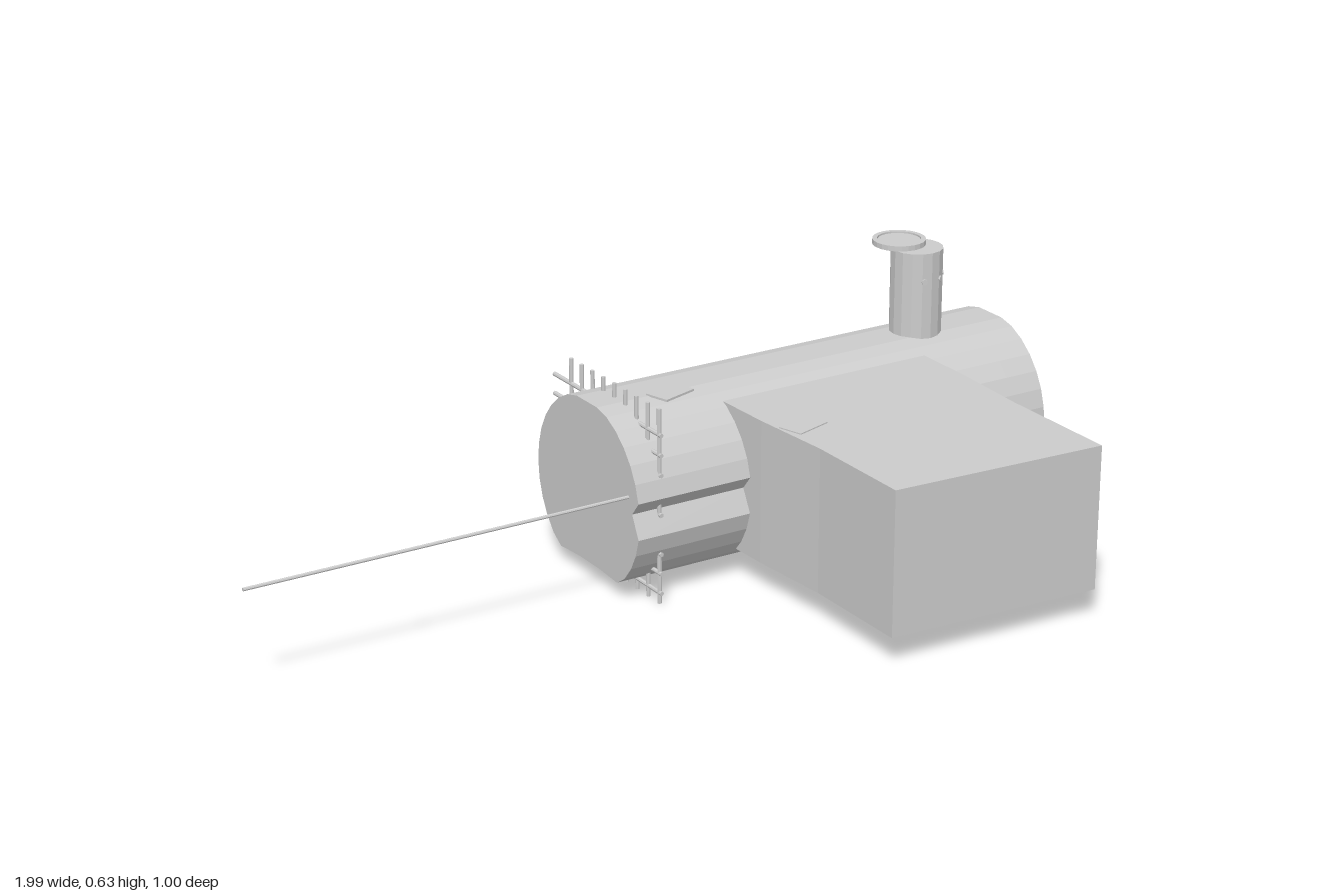
import * as THREE from 'three';

const mat = new THREE.MeshStandardMaterial({ color: 0xcccccc, flatShading: true, side: THREE.DoubleSide });
const CY = 0.21, CZ = -0.25, R = 0.215, SIDES = 32;

function add(parent, name, geometry, x = 0, y = 0, z = 0) {
  const mesh = new THREE.Mesh(geometry, mat);
  mesh.name = name;
  mesh.position.set(x, y, z);
  parent.add(mesh);
  return mesh;
}

// Tank cross-section: circle with a flattened top, worn belly and a dent at the left end
function section(x, floor) {
  const ring = [];
  for (let i = 0; i < SIDES; i++) {
    const a = (i / SIDES) * Math.PI * 2;
    let y = CY + R * Math.sin(a), z = CZ + R * Math.cos(a);
    if (x < 0.19 && i === 0) { z -= 0.03; y += 0.01; }
    const hollow = Math.max(0, 1 - Math.abs(z - CZ) / 0.13);
    y = Math.min(0.418, Math.max(y, 0.036 + floor * Math.min(1, hollow * 1.6)));
    ring.push([x, y, z]);
  }
  return ring;
}

function tankGeometry() {
  const rings = [[-0.1, 0.006], [0.185, 0], [0.2, 0], [0.45, 0.008], [0.7, 0], [0.9, 0.008], [0.985, 0.029]]
    .map(([x, f]) => section(x, f));
  const pos = [];
  for (let r = 0; r < rings.length - 1; r++) {
    for (let i = 0; i < SIDES; i++) {
      const j = (i + 1) % SIDES, A = rings[r], B = rings[r + 1];
      pos.push(...A[i], ...B[j], ...B[i], ...A[i], ...A[j], ...B[j]);
    }
  }
  // End caps as fans
  const first = rings[0], last = rings[rings.length - 1];
  for (let i = 0; i < SIDES; i++) {
    const j = (i + 1) % SIDES;
    pos.push(first[0][0], CY, CZ, ...first[j], ...first[i]);
    pos.push(last[0][0], CY, CZ, ...last[i], ...last[j]);
  }
  const g = new THREE.BufferGeometry();
  g.setAttribute('position', new THREE.Float32BufferAttribute(pos, 3));
  g.computeVertexNormals();
  return g;
}

export function createModel() {
  const model = new THREE.Group();
  model.name = 'tankWithAnnex';

  add(model, 'tank', tankGeometry());

  // Box annex: plan outline, flared where it meets the tank
  const plan = [[0.18, -0.15], [0.185, 0], [0.2, 0.2], [0.2, 0.47], [0.71, 0.5], [0.71, 0.2], [0.72, 0], [0.72, -0.15]];
  const shape = new THREE.Shape(plan.map(([x, z]) => new THREE.Vector2(x, -z)));
  const annex = new THREE.ExtrudeGeometry(shape, { depth: 0.33, bevelEnabled: false });
  annex.rotateX(-Math.PI / 2);
  add(model, 'annex', annex, 0, 0.066, 0);

  // Chimney with rivets and a displaced lid
  const chimney = new THREE.Group();
  chimney.name = 'chimney';
  chimney.position.set(0.77, 0, CZ);
  model.add(chimney);
  add(chimney, 'pipe', new THREE.CylinderGeometry(0.06, 0.06, 0.215, 16), 0, 0.508, 0);
  for (let i = 0; i < 4; i++) {
    const a = (i + 0.4) * Math.PI / 4 - Math.PI / 4;
    const rivet = add(chimney, 'rivet', new THREE.CylinderGeometry(0.007, 0.007, 0.006, 8),
      0.06 * Math.cos(a), 0.55, 0.06 * Math.sin(a));
    rivet.rotation.set(0, -a, Math.PI / 2);
  }
  const lidProfile = [[0, 0.618], [0.061, 0.618], [0.061, 0.63], [0.05, 0.63], [0.05, 0.626], [0, 0.626]];
  add(chimney, 'lid', new THREE.LatheGeometry(lidProfile.map(p => new THREE.Vector2(...p)), 24), -0.025, 0, -0.035);

  // Grating passing through the tank near its end
  const grating = new THREE.Group();
  grating.name = 'grating';
  grating.position.x = -0.035;
  model.add(grating);
  for (let i = 0; i < 9; i++) {
    add(grating, 'uprightBar', new THREE.CylinderGeometry(0.005, 0.005, 0.45, 8), 0, 0.225, -0.06 - i * 0.0457);
    const bar = add(grating, 'crossBar', new THREE.CylinderGeometry(0.005, 0.005, 0.45, 8), 0, 0.025 + i * 0.0457, -0.275);
    bar.rotation.x = Math.PI / 2;
  }

  // Long thin rod
  const rod = add(model, 'rod', new THREE.CylinderGeometry(0.004, 0.004, 1.19, 8), -0.405, 0.255, -0.08);
  rod.rotation.z = Math.PI / 2;

  // Loose patches on the roof and underside
  const patches = [[0.245, 0.396, 0.07, 0.09, 0.06], [0.08, 0.419, -0.2, 0.09, 0.06]];
  for (const [x, y, z, w, d] of patches) {
    add(model, 'roofPatch', new THREE.BoxGeometry(w, 0.005, d), x, y, z).rotation.y = 0.3;
  }
  const flap = add(model, 'undersideFlap', new THREE.CylinderGeometry(0.08, 0.07, 0.006, 14), 0.33, 0.061, 0.08);
  flap.rotation.x = -0.06;
  return model;
}
